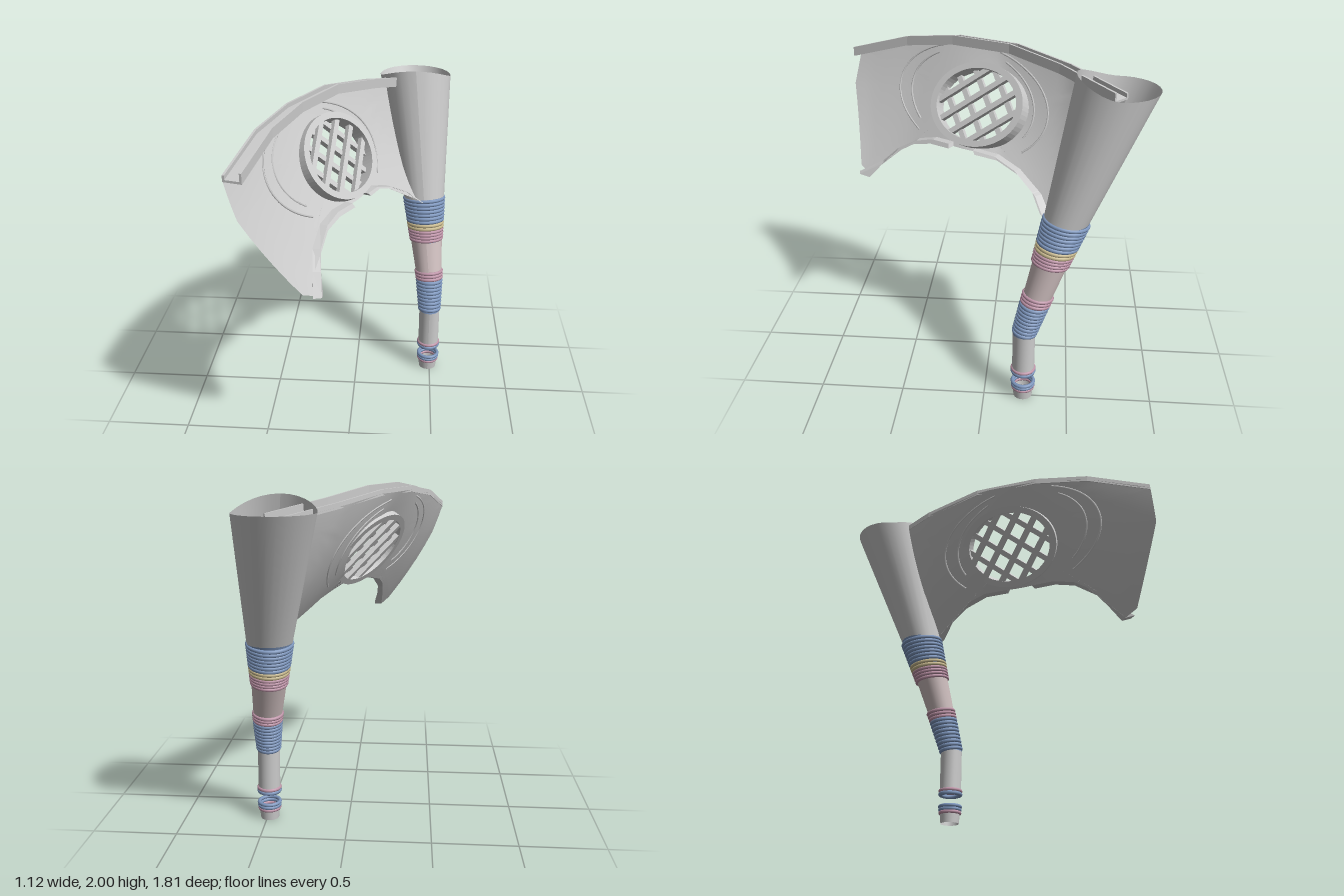
import * as THREE from 'three';

const V = (x, y, z) => new THREE.Vector3(x, y, z);
const paint = (color) => new THREE.MeshStandardMaterial({ color, side: THREE.DoubleSide });
const grey = paint(0xcccccc), blue = paint(0x7f98bf), pink = paint(0xc096aa);
const palePink = paint(0xd0c0c0), yellow = paint(0xcabb90);

function add(group, name, geometry, material = grey) {
  const mesh = new THREE.Mesh(geometry, material);
  mesh.name = name;
  group.add(mesh);
  return mesh;
}

// Piecewise-linear lookup: rows are [key, value, value...]
function lookup(rows, k) {
  let i = 0;
  while (i < rows.length - 2 && k > rows[i + 1][0]) i++;
  const a = rows[i], b = rows[i + 1], f = (k - a[0]) / (b[0] - a[0]);
  return a.slice(1).map((v, j) => v + (b[j + 1] - v) * f);
}

// Leg centre line: y, x, z, radius
const LEG = [
  [0, 0.486, -0.235, 0.056], [0.11, 0.486, -0.235, 0.066], [0.45, 0.482, -0.235, 0.066],
  [0.66, 0.472, -0.295, 0.081], [0.92, 0.442, -0.375, 0.102], [1.18, 0.418, -0.455, 0.129], [1.92, 0.337, -0.688, 0.219],
];
const legAt = (y) => {
  const [x, z, r] = lookup(LEG, y);
  return { p: V(x, y, z), r };
};

// Open tapered tube between two heights of the leg, with level ends
function legTube(y0, y1) {
  const a = legAt(y0), b = legAt(y1);
  const g = new THREE.CylinderGeometry(b.r, a.r, y1 - y0, 28, 1, true).translate(0, (y0 + y1) / 2, 0);
  const p = g.attributes.position;
  for (let i = 0; i < p.count; i++) {
    const c = p.getY(i) > (y0 + y1) / 2 ? b.p : a.p;
    p.setX(i, p.getX(i) + c.x);
    p.setZ(i, p.getZ(i) + c.z);
  }
  g.computeVertexNormals();
  return g;
}

// Stack of rounded bands around the leg, slightly tilted with it
function bands(group, name, material, y0, y1, n) {
  const step = (y1 - y0) / n, tube = step * 0.56;
  for (let i = 0; i < n; i++) {
    const y = y0 + step * (i + 0.5), c = legAt(y);
    const dir = legAt(y + 0.005).p.sub(legAt(y - 0.005).p).normalize().add(V(0, 0.8, 0)).normalize();
    const ring = add(group, name, new THREE.TorusGeometry(c.r - tube + 0.009, tube, 8, 28), material);
    ring.position.copy(c.p);
    ring.quaternion.setFromUnitVectors(V(0, 0, 1), dir);
  }
}

// Curved, leaning panel: x as a function of z and y
const CREST = [[-0.74, 0.27], [-0.43, -0.02], [-0.06, -0.26], [0.17, -0.355], [0.48, -0.49], [0.9, -0.63]];
function onPanel(z, y) {
  const h = 2 - y, end = Math.min(1, Math.max(0, (z - 0.45) / 0.35));
  const lean = 0.3 + 0.15 * Math.exp(-(((z - 0.1) / 0.3) ** 2)) - 0.06 * end;
  return V(lookup(CREST, z)[0] + lean * h + 0.3 * h * h, y, z);
}
const TOP = [[0.86, 1.815], [0.5, 1.915], [0.2, 1.957], [-0.15, 1.957], [-0.45, 1.91], [-0.74, 1.85]];
const ARCH = [[-0.36, 1.18], [-0.31, 1.265], [-0.2, 1.345], [-0.07, 1.392], [0.07, 1.405], [0.22, 1.405],
  [0.34, 1.4], [0.46, 1.37], [0.6, 1.295], [0.7, 1.21], [0.77, 1.14]];

// Opening and grille share this centre and tilt
const CENTRE = [0.07, 1.625];
const NORMAL = V(0.75, 0.52, 0.41).normalize();
const ACROSS = V(NORMAL.z, 0, -NORMAL.x).normalize();
const UP = NORMAL.clone().cross(ACROSS);

// Panel sheet lofted from the oval opening to the outline
function panelGeometry() {
  const outline = [...TOP, [-0.55, 1.5], ...ARCH, [0.83, 1.18], [0.9, 1.62]];
  const [cz, cy] = CENTRE, seg = 5, rows = 10, pos = [], idx = [], loop = [];
  outline.forEach((a, i) => {
    const b = outline[(i + 1) % outline.length];
    for (let k = 0; k < seg; k++) loop.push([a[0] + (b[0] - a[0]) * k / seg, a[1] + (b[1] - a[1]) * k / seg]);
  });
  loop.push(loop[0]);
  const angle = ([z, y]) => Math.atan2((y - cy) / 0.21, (z - cz) / 0.265);
  const first = angle(loop[0]);
  let last = -1;
  loop.forEach((q, i) => {
    let t = angle(q);
    if (i && t < first) t += 2 * Math.PI;
    if (i === loop.length - 1) t = first + 2 * Math.PI;
    last = t = Math.max(t, last + 0.004);
    const iz = cz - 0.285 * ACROSS.z * Math.cos(t) + 0.23 * UP.z * Math.sin(t);
    const iy = cy + 0.23 * UP.y * Math.sin(t);
    for (let j = 0; j <= rows; j++) {
      const f = j / rows;
      pos.push(...onPanel(iz + (q[0] - iz) * f, iy + (q[1] - iy) * f).toArray());
      if (i && j) {
        const d = i * (rows + 1) + j, c = d - rows - 1;
        idx.push(c - 1, d - 1, c, c, d - 1, d);
      }
    }
  });
  const g = new THREE.BufferGeometry();
  g.setAttribute('position', new THREE.Float32BufferAttribute(pos, 3));
  g.setIndex(idx);
  g.computeVertexNormals();
  return g;
}

// Bar with a four-cornered section swept along points; frame(i) gives its two edge vectors
function bar(points, frame) {
  const pos = [], idx = [];
  points.forEach((p, i) => {
    const [a, b] = frame(i);
    const ring = [p, p.clone().add(a), p.clone().add(a).add(b), p.clone().add(b)];
    ring.forEach((q) => pos.push(...q.toArray()));
    if (i) for (let k = 0; k < 4; k++) {
      const n = (k + 1) % 4, o = i * 4;
      idx.push(o - 4 + k, o - 4 + n, o + k, o - 4 + n, o + n, o + k);
    }
  });
  const e = (points.length - 1) * 4;
  idx.push(0, 2, 1, 0, 3, 2, e, e + 1, e + 2, e, e + 2, e + 3);
  const g = new THREE.BufferGeometry();
  g.setAttribute('position', new THREE.Float32BufferAttribute(pos, 3));
  g.setIndex(idx);
  const flat = g.toNonIndexed();
  flat.computeVertexNormals();
  return flat;
}

// Horizontal direction square to a path, pointing to the grille side
function inward(points, i, size) {
  const d = points[Math.min(i + 1, points.length - 1)].clone().sub(points[Math.max(i - 1, 0)]);
  const n = V(d.z, 0, -d.x).normalize();
  return n.multiplyScalar(n.x < 0 ? -size : size);
}

// Oval frame with crossed bars, built flat and then tilted onto the panel
function grille() {
  const g = new THREE.Group();
  g.name = 'grille';
  const shape = new THREE.Shape().absellipse(0, 0, 0.31, 0.25, 0, Math.PI * 2);
  shape.holes.push(new THREE.Path().absellipse(0, 0, 0.268, 0.213, 0, Math.PI * 2));
  const rim = new THREE.ExtrudeGeometry(shape, { depth: 0.08, bevelEnabled: false, curveSegments: 32 });
  add(g, 'grilleFrame', rim.translate(0, 0, -0.025));
  for (const side of [1, -1]) {
    const a = side * 0.8 - 0.08, c = Math.cos(a), s = Math.sin(a);
    for (const off of [-0.165, -0.055, 0.055, 0.165]) {
      // chord of the oval along this bar
      const A = (c / 0.28) ** 2 + (s / 0.225) ** 2;
      const B = 2 * off * c * s * (1 / 0.225 ** 2 - 1 / 0.28 ** 2);
      const C = (off * s / 0.28) ** 2 + (off * c / 0.225) ** 2 - 1;
      const root = Math.sqrt(B * B - 4 * A * C), mid = -B / (2 * A);
      const slat = add(g, 'grilleBar', new THREE.BoxGeometry(root / A, 0.032, 0.03));
      slat.position.set(mid * c - off * s, mid * s + off * c, side * 0.012 + 0.005);
      slat.rotation.z = a;
    }
  }
  g.quaternion.setFromRotationMatrix(new THREE.Matrix4().makeBasis(ACROSS, UP, NORMAL));
  g.position.copy(onPanel(...CENTRE));
  return g;
}

export function createModel() {
  const model = new THREE.Group();
  model.name = 'model';

  // Leg: foot, shafts and flared open horn
  add(model, 'foot', legTube(0, 0.11));
  add(model, 'lowerShaft', legTube(0.17, 0.45));
  add(model, 'bandedShaft', legTube(0.45, 0.66), blue);
  add(model, 'middleShaft', legTube(0.66, 0.92), palePink);
  add(model, 'upperShaft', legTube(0.92, 1.17), blue);
  const horn = legTube(1.17, 1.92), hp = horn.attributes.position;
  for (let i = 0; i < hp.count; i++) { // wavy rim, raised at the front
    if (hp.getY(i) > 1.6) hp.setY(i, 1.9 + 0.078 * Math.max(0, (hp.getZ(i) + 0.688) / 0.219) ** 1.5);
  }
  add(model, 'horn', horn);

  // Coloured bands: material, from, to, count
  [[pink, 0.055, 0.075, 1], [blue, 0.073, 0.113, 2], [blue, 0.168, 0.192, 1], [pink, 0.19, 0.21, 1],
    [blue, 0.45, 0.655, 9], [pink, 0.655, 0.715, 3], [pink, 0.905, 0.98, 4], [yellow, 0.98, 1.022, 2], [blue, 1.022, 1.175, 7],
  ].forEach(([m, a, b, n]) => bands(model, 'band', m, a, b, n));

  // Panel and grille
  add(model, 'panel', panelGeometry());
  model.add(grille());

  // Gutter along the top: floor, outer lip and inner lip
  const top = TOP.map(([z, y]) => onPanel(z, y).add(V(0, -0.012, 0)));
  const inner = top.map((p, i) => p.clone().add(inward(top, i, 0.09)));
  add(model, 'gutterFloor', bar(top, (i) => [inward(top, i, 0.1), V(0, 0.012, 0)]));
  add(model, 'gutterOuterLip', bar(top, (i) => [inward(top, i, 0.012), V(0, 0.035, 0)]));
  add(model, 'gutterInnerLip', bar(inner, (i) => [inward(top, i, 0.012), V(0, 0.055, 0)]));

  // Arch trim in two lengths with a gap under the grille
  [ARCH.slice(0, 5), ARCH.slice(5)].forEach((list) => {
    const pts = list.map(([z, y]) => onPanel(z, y));
    add(model, 'archTrim', bar(pts, (i) => {
      const out = onPanel(0.22, 1.68).sub(pts[i]).normalize();
      return [inward(pts, i, 0.045), i === pts.length - 1 && list.length > 5 ? V(0, 0.02, 0.06) : out.multiplyScalar(0.028)];
    }));
  });

  // Slim curved ribs either side of the grille
  [[0.46, 0.29, -0.8, 1.2], [0.46, 0.29, 1.95, 3.95], [0.38, 0.265, -0.6, 1], [0.38, 0.265, 2.15, 3.7]].forEach(([rz, ry, a, b]) => {
    const pts = Array.from({ length: 15 }, (_, i) => {
      const t = a + (b - a) * i / 14;
      return onPanel(0.13 + rz * Math.cos(t), 1.645 + ry * Math.sin(t));
    });
    add(model, 'panelRib', new THREE.TubeGeometry(new THREE.CatmullRomCurve3(pts), 28, 0.006, 5));
  });
  return model;
}
